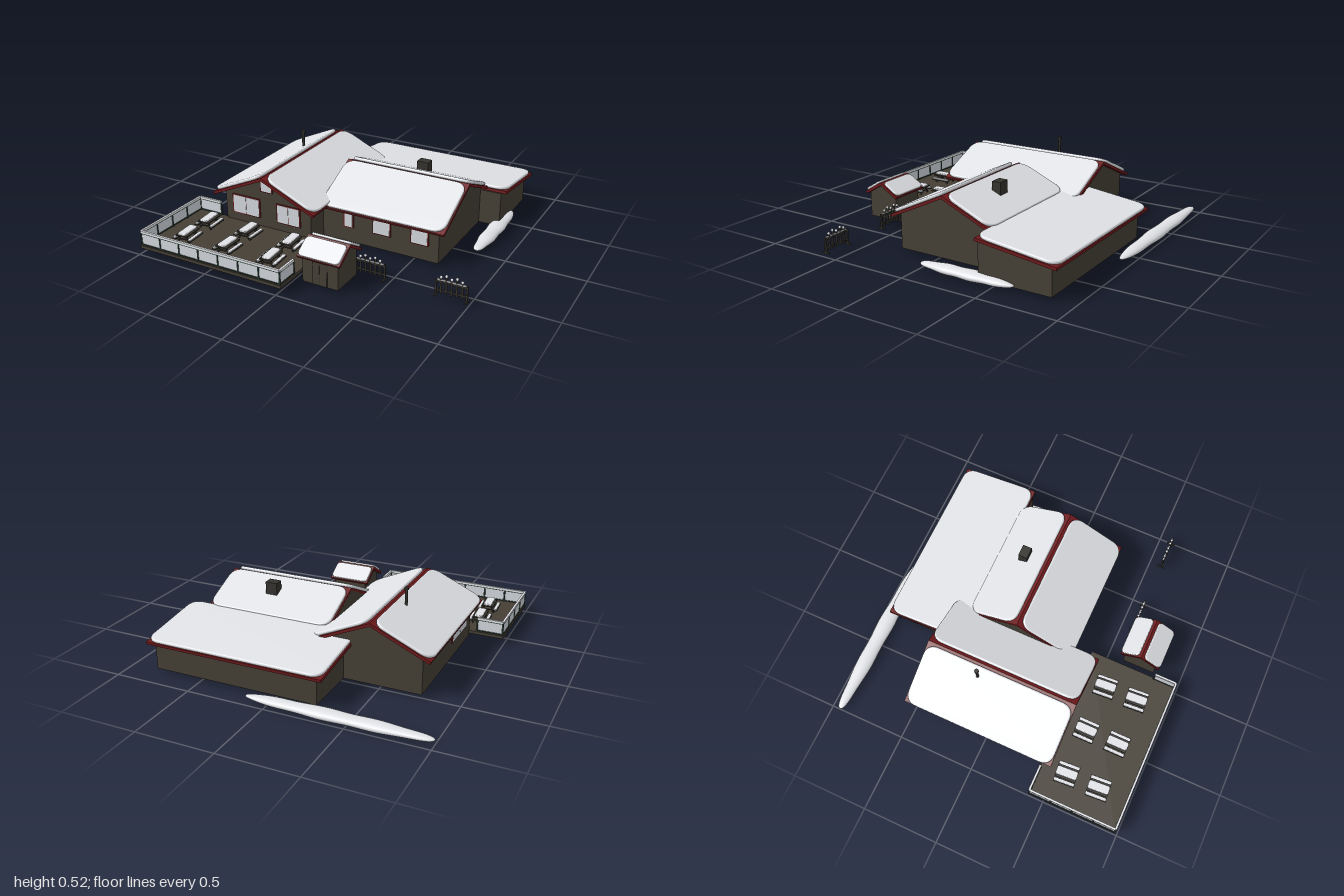
import * as THREE from 'three';

const mat = (name, color, side = THREE.FrontSide) => {
  const m = new THREE.MeshStandardMaterial({ color, side });
  m.name = name;
  return m;
};

export function createModel() {
  const model = new THREE.Group();
  model.name = 'snowyLodge';
  const wood = mat('dark wood', 0x453f35);
  const red = mat('red trim', 0x701a1c);
  const snow = mat('snow', 0xe0e2e6);
  const glass = mat('pale glass', 0xd3d8de);
  const iron = mat('dark metal', 0x35332e);
  const green = mat('dark green frame', 0x2c3d34);

  const add = (parent, name, geo, material, x = 0, y = 0, z = 0) => {
    const m = new THREE.Mesh(geo, material);
    m.name = name;
    m.position.set(x, y, z);
    parent.add(m);
    return m;
  };
  const box = (parent, name, material, w, h, d, x, y, z) =>
    add(parent, name, new THREE.BoxGeometry(w, h, d), material, x, y, z);
  const group = (parent, name, x = 0, y = 0, z = 0, yaw = 0) => {
    const g = new THREE.Group();
    g.name = name;
    g.position.set(x, y, z);
    g.rotation.y = yaw;
    parent.add(g);
    return g;
  };

  // Pillow of snow with rounded corners, lying flat, centred on x and z
  function snowPad(w, d, r, t) {
    const b = t * 0.45, x = w / 2 - b, y = d / 2 - b;
    const s = new THREE.Shape();
    s.moveTo(-x + r, -y);
    s.lineTo(x - r, -y).quadraticCurveTo(x, -y, x, -y + r);
    s.lineTo(x, y - r).quadraticCurveTo(x, y, x - r, y);
    s.lineTo(-x + r, y).quadraticCurveTo(-x, y, -x, y - r);
    s.lineTo(-x, -y + r).quadraticCurveTo(-x, -y, -x + r, -y);
    const g = new THREE.ExtrudeGeometry(s, {
      depth: t - 2 * b, bevelEnabled: true, bevelSize: b, bevelThickness: b, bevelSegments: 4, curveSegments: 10,
    });
    g.translate(0, 0, b);
    g.rotateX(-Math.PI / 2);
    return g;
  }

  // Sloping red roof board with snow; (x, y, z) is the middle of its upper edge
  function roofPanel(parent, name, x, y, z, yaw, run, drop, len, gap = 0.018, t = 0.022, r = 0.07) {
    const g = group(group(parent, name, x, y, z, yaw), 'slope');
    g.rotation.z = -Math.atan2(drop, run);
    const l = Math.hypot(run, drop);
    box(g, 'roofBoard', red, l, 0.018, len, l / 2, -0.009, 0);
    add(g, 'roofSnow', snowPad(l - gap, len - 0.008, r, t), snow, (l + gap) / 2 - 0.002, 0, 0);
  }

  // Wall block: profile of [across, height] points extruded along the length
  function walls(parent, name, pts, len, x, z, yaw = 0) {
    const s = new THREE.Shape(pts.map(p => new THREE.Vector2(p[0], p[1])));
    const g = new THREE.ExtrudeGeometry(s, { depth: len, bevelEnabled: false });
    g.translate(0, 0, -len / 2);
    add(parent, name, g, wood, x, 0, z).rotation.y = yaw;
  }

  // Red-framed window facing local +z
  function windowAt(parent, x, y, z, w, h, panes = 1, yaw = 0) {
    const g = group(parent, 'window', x, y, z, yaw);
    box(g, 'windowFrame', red, w, h, 0.008, 0, 0, 0.003);
    const pw = (w - 0.012) / panes;
    for (let i = 0; i < panes; i++)
      box(g, 'windowPane', glass, pw - 0.003, h - 0.012, 0.004, (i + 0.5 - panes / 2) * pw, 0, 0.007);
  }

  // Left wing with its gable to the front
  const left = group(model, 'leftWing');
  walls(left, 'leftWingWalls', [[-0.32, 0.03], [0.32, 0.03], [0.32, 0.27], [0, 0.415], [-0.32, 0.27]], 0.91, -0.445, -0.045);
  roofPanel(left, 'leftRoof', -0.445, 0.432, -0.03, Math.PI, 0.377, 0.168, 1.0);
  roofPanel(left, 'rightRoof', -0.445, 0.432, -0.03, 0, 0.377, 0.168, 1.0);
  windowAt(left, -0.605, 0.19, 0.41, 0.21, 0.13, 2);
  windowAt(left, -0.287, 0.19, 0.41, 0.175, 0.13, 2);
  windowAt(left, -0.445, 0.353, 0.41, 0.092, 0.078);
  windowAt(left, -0.765, 0.19, 0.17, 0.3, 0.11, 2, -Math.PI / 2);
  add(left, 'stovePipe', new THREE.CylinderGeometry(0.009, 0.009, 0.14, 12), iron, -0.525, 0.455, -0.155);
  add(left, 'pipeCap', new THREE.CylinderGeometry(0.014, 0.014, 0.014, 12), iron, -0.525, 0.524, -0.155);

  // Right wing with its ridge running sideways
  const right = group(model, 'rightWing');
  walls(right, 'rightWingWalls', [[-0.335, 0.03], [0.325, 0.03], [0.325, 0.275], [0, 0.415], [-0.335, 0.25]], 0.8, 0.27, -0.075, Math.PI / 2);
  roofPanel(right, 'frontRoof', 0.293, 0.432, -0.075, -Math.PI / 2, 0.377, 0.18, 0.845);
  roofPanel(right, 'rearRoof', 0.293, 0.432, -0.075, Math.PI / 2, 0.335, 0.145, 0.845);
  windowAt(right, 0.06, 0.18, 0.26, 0.07, 0.1);
  windowAt(right, 0.29, 0.185, 0.26, 0.125, 0.11);
  windowAt(right, 0.545, 0.185, 0.26, 0.12, 0.11);
  box(right, 'chimney', iron, 0.078, 0.09, 0.06, 0.34, 0.41, -0.232);

  // Low back wing with a lean-to roof
  const back = group(model, 'backWing');
  walls(back, 'backWingWalls', [[-0.235, 0.03], [0.235, 0.03], [0.235, 0.205], [-0.235, 0.26]], 1.08, 0.27, -0.625, Math.PI / 2);
  roofPanel(back, 'backRoof', 0.263, 0.283, -0.39, Math.PI / 2, 0.515, 0.063, 1.165, 0.004);

  // Deck and its glazed railing
  const deck = group(model, 'deck');
  box(deck, 'deckFloor', wood, 1.02, 0.02, 0.59, -0.485, 0.06, 0.69);
  function railing(name, x, z, yaw, len, panels) {
    const g = group(deck, name, x, 0.07, z, yaw);
    const step = len / panels;
    box(g, 'topRail', snow, len, 0.014, 0.014, len / 2, 0.092, 0);
    box(g, 'upperFrame', green, len, 0.006, 0.01, len / 2, 0.082, 0);
    box(g, 'lowerFrame', green, len, 0.006, 0.01, len / 2, 0.008, 0);
    for (let i = 0; i <= panels; i++) box(g, 'railPost', green, 0.008, 0.086, 0.01, i * step, 0.043, 0);
    for (let i = 0; i < panels; i++)
      box(g, 'railPane', glass, step - 0.012, 0.066, 0.004, (i + 0.5) * step, 0.045, 0);
  }
  railing('frontRailing', -0.988, 0.978, 0, 1.006, 7);
  railing('leftRailing', -0.988, 0.978, Math.PI / 2, 0.575, 4);
  railing('rightRailing', 0.018, 0.978, Math.PI / 2, 0.145, 1);
  railing('backRailing', -0.988, 0.403, 0, 0.17, 1);

  // Snow-covered picnic tables
  for (const [x, yaw] of [[-0.79, 0.07], [-0.485, 0], [-0.17, 0.07]])
    for (const z of [0.57, 0.785]) {
      const t = group(deck, 'picnicTable', x, 0.07, z, yaw);
      box(t, 'tableTop', iron, 0.082, 0.008, 0.136, 0, 0.052, 0);
      add(t, 'tableSnow', snowPad(0.056, 0.138, 0.008, 0.014), snow, 0, 0.056, 0);
      for (const s of [-1, 1]) {
        box(t, 'bench', iron, 0.026, 0.006, 0.136, s * 0.054, 0.026, 0);
        add(t, 'benchSnow', snowPad(0.022, 0.138, 0.006, 0.01), snow, s * 0.054, 0.029, 0);
        box(t, 'crossBar', iron, 0.12, 0.006, 0.008, 0, 0.022, s * 0.045);
        for (const e of [-1, 1]) {
          const leg = box(t, 'tableLeg', iron, 0.008, 0.054, 0.008, e * 0.03, 0.026, s * 0.045);
          leg.rotation.z = e * 0.4;
        }
      }
    }

  // Small hut beside the deck
  const hut = group(model, 'hut', 0.185, 0, 0.71);
  walls(hut, 'hutWalls', [[-0.107, 0.03], [0.107, 0.03], [0.107, 0.2], [0, 0.265], [-0.107, 0.2]], 0.235, 0, 0, Math.PI / 2);
  for (const s of [-1, 1])
    roofPanel(hut, s > 0 ? 'hutFrontRoof' : 'hutRearRoof', 0, 0.282, 0, -s * Math.PI / 2, 0.132, 0.08, 0.28, 0.018, 0.016, 0.025);
  box(hut, 'hutDoor', iron, 0.096, 0.15, 0.006, 0, 0.107, 0.108);
  for (const x of [-0.024, 0.024]) box(hut, 'doorLeaf', wood, 0.045, 0.144, 0.006, x, 0.107, 0.11);

  // Two picket fences with snow caps
  for (const x0 of [0.285, 0.795]) {
    const f = group(model, 'fence', x0, 0, 0.583);
    for (const y of [0.065, 0.12]) box(f, 'fenceRail', iron, 0.2, 0.012, 0.008, 0.098, y, 0);
    for (const x of [0.004, 0.192]) {
      box(f, 'fencePost', iron, 0.01, 0.1, 0.012, x, 0.08, 0);
      box(f, 'fenceFoot', iron, 0.01, 0.01, 0.055, x, 0.035, 0);
    }
    for (let i = 0; i < 5; i++) {
      const x = 0.034 + i * 0.032, h = 0.1 + (i % 2) * 0.012;
      add(f, 'picket', new THREE.CylinderGeometry(0.007, 0.007, h, 8), iron, x, 0.045 + h / 2, 0);
      add(f, 'picketSnow', new THREE.SphereGeometry(0.009, 10, 6), snow, x, 0.047 + h, 0);
    }
    add(f, 'railSnow', snowPad(0.18, 0.012, 0.004, 0.008), snow, 0.098, 0.126, 0);
  }

  // Long lumpy snow banks
  function snowBank(name, x, z, yaw, half, width) {
    const g = new THREE.SphereGeometry(1, 24, 40);
    g.rotateZ(Math.PI / 2);
    const p = g.attributes.position;
    for (let i = 0; i < p.count; i++) {
      const u = p.getX(i), ring = Math.sqrt(Math.max(0, 1 - u * u));
      const fat = ring > 1e-4 ? Math.pow(ring, 0.75) / ring * (1 + 0.06 * Math.sin(u * 11)) : 0;
      p.setXYZ(i, u * half, p.getY(i) * fat * 0.028, p.getZ(i) * fat * width);
    }
    g.computeVertexNormals();
    add(model, name, g, snow, x, 0.04, z).rotation.y = yaw;
  }
  snowBank('backSnowBank', -0.43, -0.943, 0, 0.57, 0.053);
  snowBank('sideSnowBank', 0.81, -0.31, Math.PI / 2, 0.315, 0.053);

  return model;
}
